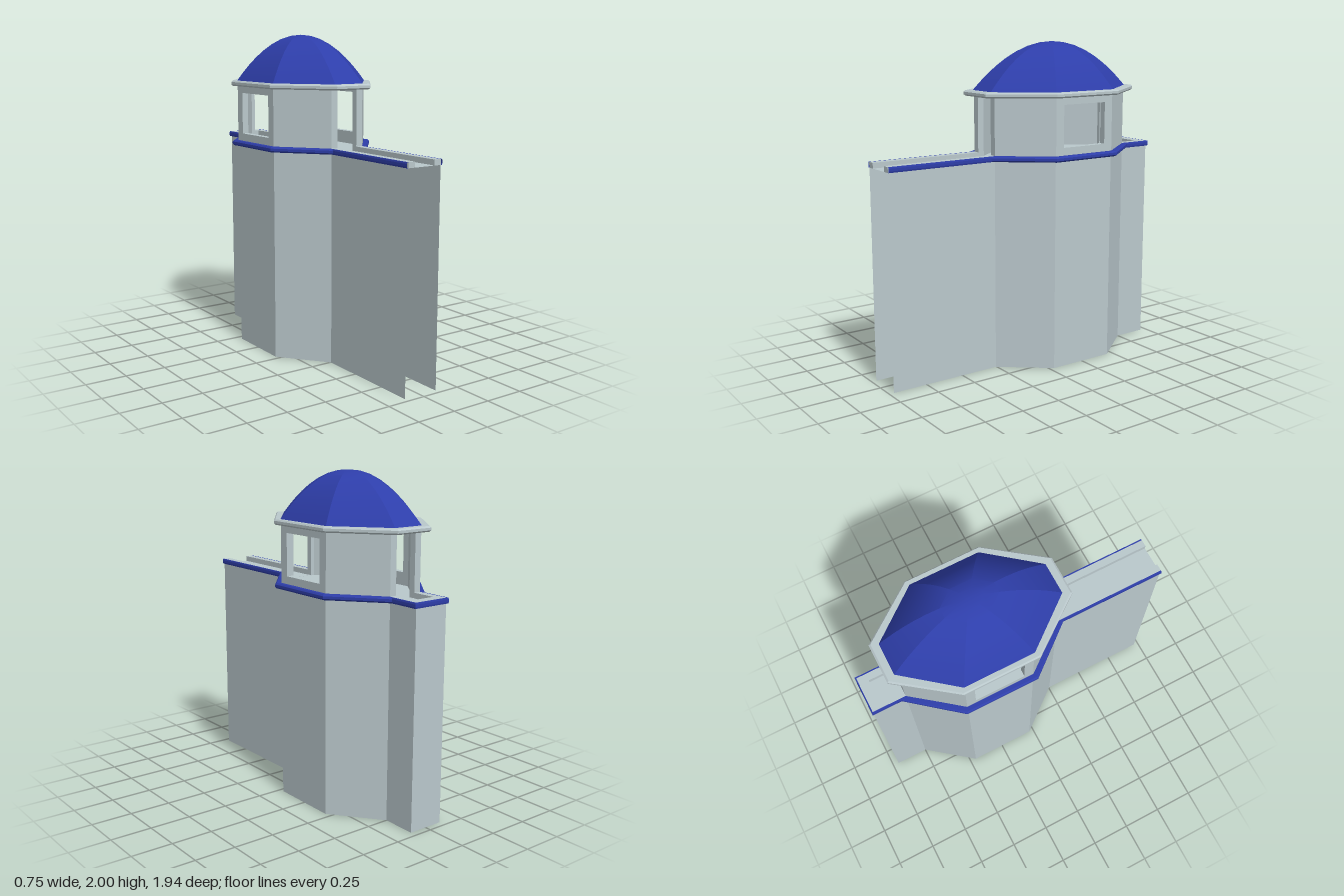
import * as THREE from 'three';
import { toCreasedNormals } from 'three/addons/utils/BufferGeometryUtils.js';

const stone = new THREE.MeshStandardMaterial({ color: 0xbac8cc, side: THREE.DoubleSide });
stone.name = 'pale stone';
const blue = new THREE.MeshStandardMaterial({ color: 0x2e3eaa, side: THREE.DoubleSide });
blue.name = 'deep blue';

const CZ = -0.2475; // centre of the tower in z
const DECK = 1.3, CURB_TOP = 1.333, CHAMBER_TOP = 1.7;

// Long octagon: hx, hz are half sizes, fx, fz half lengths of the straight sides.
// Starts at the left end of the front side and runs round by the model's left.
function octagon(hx, hz, fx, fz) {
  return [[-fx, hz], [fx, hz], [hx, fz], [hx, -fz], [fx, -hz], [-fx, -hz], [-hx, -fz], [-hx, fz]]
    .map(([x, z]) => [x, z + CZ]);
}

// Completes a half outline (front to back, +x side) with its mirror image.
const mirrored = (half) => [...half, ...half.slice().reverse().map(([x, z]) => [-x, z])];

// Joins equal cross-sections (arrays of [x, y, z]) into a flat-shaded surface.
function loft(sections, closed) {
  const pos = [];
  const n = sections.length;
  for (let i = 0; i < (closed ? n : n - 1); i++) {
    const a = sections[i], b = sections[(i + 1) % n];
    for (let j = 0; j < a.length - 1; j++) {
      pos.push(...a[j], ...b[j], ...b[j + 1], ...a[j], ...b[j + 1], ...a[j + 1]);
    }
  }
  const g = new THREE.BufferGeometry();
  g.setAttribute('position', new THREE.Float32BufferAttribute(pos, 3));
  g.computeVertexNormals();
  return g;
}

// Moulding between two outlines; profile rows are [inner-to-outer fraction, y].
function moulding(inner, outer, profile, closed) {
  return loft(inner.map(([x, z], i) => profile.map(([t, y]) =>
    [x + (outer[i][0] - x) * t, y, z + (outer[i][1] - z) * t])), closed);
}

// Wall panel between two plan points, extruded inwards, with an optional opening.
function panel(a, b, opening) {
  const dx = b[0] - a[0], dz = b[1] - a[1], len = Math.hypot(dx, dz);
  const shape = new THREE.Shape();
  shape.moveTo(0, DECK).lineTo(len, DECK).lineTo(len, CHAMBER_TOP).lineTo(0, CHAMBER_TOP).closePath();
  if (opening) {
    const { half, y0, y1, shift = 0 } = opening;
    const m = len / 2 + shift;
    const hole = new THREE.Path();
    hole.moveTo(m - half, y0).lineTo(m - half, y1).lineTo(m + half, y1).lineTo(m + half, y0).closePath();
    shape.holes.push(hole);
  }
  const g = new THREE.ExtrudeGeometry(shape, { depth: 0.04, bevelEnabled: false });
  g.translate(0, 0, -0.04);
  g.rotateY(Math.atan2(-dz, dx));
  g.translate(a[0], 0, a[1]);
  return g;
}

export function createModel() {
  const model = new THREE.Group();
  model.name = 'domedWallTower';
  const add = (name, geometry, material, parent = model) => {
    const mesh = new THREE.Mesh(geometry, material);
    mesh.name = name;
    parent.add(mesh);
    return mesh;
  };

  // Lower walls: one thin outline, open at the front end and underneath
  const outline = mirrored([[0.113, 0.97], [0.113, 0.255], [0.34, -0.03], [0.34, -0.46], [0.113, -0.75], [0.113, -0.96]]);
  add('lowerWalls', loft(outline.map(([x, z]) => [[x, 0, z], [x, DECK, z]]), false), stone);

  // Deck of the walkway and chamber
  const deck = new THREE.ShapeGeometry(new THREE.Shape(outline.map(([x, z]) => new THREE.Vector2(x, -z))));
  deck.rotateX(-Math.PI / 2);
  deck.translate(0, DECK, 0);
  add('deck', deck, stone);

  // Low curbs along the walkway
  const curbs = new THREE.Group();
  curbs.name = 'walkwayCurbs';
  model.add(curbs);
  const curb = (name, x0, x1, z0, z1) => {
    const g = new THREE.BoxGeometry(x1 - x0, CURB_TOP - DECK, z1 - z0);
    g.translate((x0 + x1) / 2, (CURB_TOP + DECK) / 2, (z0 + z1) / 2);
    add(name, g, stone, curbs);
  };
  for (const s of [-1, 1]) {
    const x0 = s > 0 ? 0.07 : -0.115, x1 = x0 + 0.045;
    curb('frontCurb', x0, x1, 0.25, 0.97);
    curb('backSideCurb', x0, x1, -0.96, -0.745);
  }
  curb('backEndCurb', -0.07, 0.07, -0.96, -0.9);

  // Blue trim following the deck edge
  const trimInner = mirrored([[0.115, 0.97], [0.115, 0.255], [0.34, -0.03], [0.34, -0.46], [0.115, -0.75], [0.115, -0.96]]);
  const trimOuter = mirrored([[0.126, 0.97], [0.126, 0.287], [0.373, -0.015], [0.373, -0.48], [0.126, -0.782], [0.126, -0.968]]);
  add('deckTrim', moulding(trimInner, trimOuter,
    [[0, DECK], [0.75, DECK], [1, 1.309], [1, 1.324], [0.75, CURB_TOP], [0, CURB_TOP]], false), blue);

  // Chamber walls: doors at both ends, windows on both sides
  const chamber = new THREE.Group();
  chamber.name = 'chamber';
  model.add(chamber);
  const plan = octagon(0.34, 0.5025, 0.113, 0.215);
  const door = { half: 0.07, y0: DECK + 0.001, y1: 1.68 };
  const sideWindow = { half: 0.157, y0: 1.38, y1: 1.637 };
  plan.forEach((p, i) => {
    const opening = i % 4 === 0 ? door : i % 4 === 2 ? sideWindow : null;
    const name = i % 4 === 0 ? 'doorWall' : i % 4 === 2 ? 'windowWall' : 'diagonalWall';
    add(name, panel(p, plan[(i + 1) % 8], opening), stone, chamber);
  });

  // Bevelled cornice ring under the dome
  add('cornice', moulding(octagon(0.3, 0.4625, 0.093, 0.2), octagon(0.375, 0.572, 0.122, 0.235),
    [[0, 1.68], [0.9, 1.68], [1, 1.689], [1, 1.704], [0.9, 1.713], [0, 1.713], [0, 1.68]], true), stone);

  // Eight-sided dome with a parabolic profile
  const steps = 10;
  const base = octagon(0.343, 0.522, 0.1, 0.218);
  const ribs = base.map(([x, z]) => Array.from({ length: steps + 1 }, (_, k) => {
    const r = Math.cos((k / steps) * Math.PI / 2);
    return [x * r, 1.71 + 0.29 * (1 - r * r), CZ + (z - CZ) * r];
  }));
  add('dome', toCreasedNormals(loft(ribs, true), 0.3), blue);

  return model;
}
